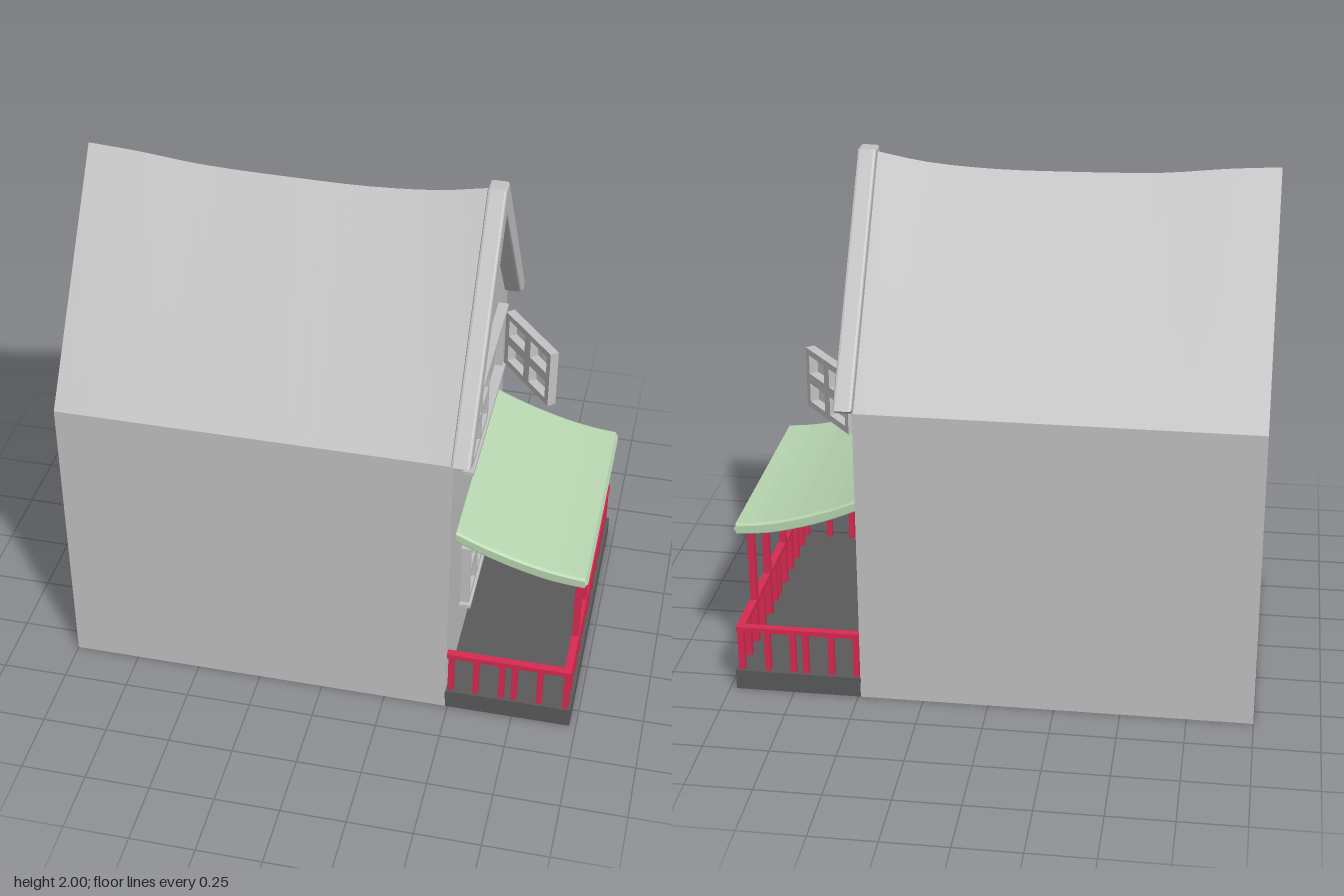
import * as THREE from 'three';

const mat = (name, color, side = THREE.FrontSide) => {
  const m = new THREE.MeshStandardMaterial({ color, side });
  m.name = name;
  return m;
};

export function createModel() {
  const grey = mat('plaster grey', 0xc2c2c2);
  const dark = mat('deck charcoal', 0x5a5a5a);
  const red = mat('railing red', 0xd82a50);
  const green = mat('awning green', 0xb8d6b0);
  const model = new THREE.Group();
  model.name = 'house';

  const add = (name, geo, material, parent = model) => {
    const mesh = new THREE.Mesh(geo, material);
    mesh.name = name;
    parent.add(mesh);
    return mesh;
  };
  // Box given by its limits on each axis
  const box = (name, x0, x1, y0, y1, z0, z1, material, parent) => {
    const b = add(name, new THREE.BoxGeometry(x1 - x0, y1 - y0, z1 - z0), material, parent);
    b.position.set((x0 + x1) / 2, (y0 + y1) / 2, (z0 + z1) / 2);
    return b;
  };
  const group = (name) => {
    const g = new THREE.Group();
    g.name = name;
    model.add(g);
    return g;
  };
  const shapeOf = (pts) => new THREE.Shape(pts.map(([x, y]) => new THREE.Vector2(x, y)));

  // House body: gabled cross-sections along x, with a sagging ridge
  const ridge = new THREE.CatmullRomCurve3([
    [-1, 1.982], [-0.8, 1.968], [-0.57, 1.944], [-0.2, 1.934],
    [0.05, 1.934], [0.3, 1.951], [0.49, 1.985],
  ].map(([x, y]) => new THREE.Vector3(x, y, 0)));
  const sections = ridge.getPoints(18).map(({ x, y }) =>
    [[x, 0, 0.587], [x, 1.18, 0.587], [x, y, 0], [x, 1.18, -0.587], [x, 0, -0.587]]);
  const pos = [], idx = [];
  for (let k = 0; k < 5; k++) {
    // each side has its own vertices so the edges stay sharp
    sections.forEach((s, i) => {
      const n = pos.length / 3;
      pos.push(...s[k], ...s[(k + 1) % 5]);
      if (i < sections.length - 1) idx.push(n, n + 2, n + 1, n + 1, n + 2, n + 3);
    });
  }
  [sections[0], sections[sections.length - 1]].forEach((s, end) => {
    const n = pos.length / 3;
    pos.push(...s.flat());
    for (let k = 1; k < 4; k++) idx.push(n, ...(end ? [n + k + 1, n + k] : [n + k, n + k + 1]));
  });
  const body = new THREE.BufferGeometry();
  body.setAttribute('position', new THREE.Float32BufferAttribute(pos, 3));
  body.setIndex(idx);
  body.computeVertexNormals();
  add('houseBody', body, grey);

  // Gable trim: bevelled chevron with flared feet
  const half = [[0.028, 1.992], [0.607, 1.203], [0.587, 1.19], [0.56, 1.2], [0.515, 1.228]];
  const chevron = shapeOf([...half, [0, 1.902], ...half.map(([x, y]) => [-x, y]).reverse()]);
  const trim = new THREE.ExtrudeGeometry(chevron, {
    depth: 0.05, bevelEnabled: true, bevelSize: 0.008, bevelThickness: 0.01, bevelSegments: 2,
  });
  trim.rotateY(Math.PI / 2).translate(0.495, 0, 0);
  add('gableTrim', trim, grey);

  // Four-pane sash, centred on its own origin, thickness along local z
  const sash = (name, w, h, depth, parent, frame = 0.02, bar = 0.032) => {
    const rect = (x0, x1, y0, y1) => [[x0, y0], [x1, y0], [x1, y1], [x0, y1]];
    const shape = shapeOf(rect(-w / 2, w / 2, -h / 2, h / 2));
    for (const sx of [-1, 1]) for (const sy of [-1, 1]) {
      const pane = rect(sx * bar / 2, sx * (w / 2 - frame), sy * bar / 2, sy * (h / 2 - frame));
      shape.holes.push(shapeOf(pane));
    }
    const geo = new THREE.ExtrudeGeometry(shape, { depth, bevelEnabled: false });
    geo.translate(0, 0, -depth / 2);
    return add(name, geo, grey, parent);
  };

  // Upper window: one closed sash and one swung open
  const upper = group('upperWindow');
  box('upperLintel', 0.48, 0.53, 1.248, 1.265, -0.355, 0.362, grey, upper);
  box('upperSill', 0.48, 0.53, 0.97, 0.986, -0.355, 0.362, grey, upper);
  box('upperJamb', 0.48, 0.52, 0.986, 1.248, -0.348, -0.33, grey, upper);
  const closed = sash('closedSash', 0.33, 0.262, 0.035, upper);
  closed.rotation.y = Math.PI / 2;
  closed.position.set(0.503, 1.117, 0.166);
  const open = sash('openSash', 0.325, 0.24, 0.036, upper, 0.025, 0.04);
  open.rotation.y = -0.872;
  open.position.set(0.643, 1.115, -0.228);

  // Lower window
  const lower = group('lowerWindow');
  box('lowerLintel', 0.48, 0.535, 0.577, 0.59, -0.01, 0.335, grey, lower);
  box('lowerSill', 0.48, 0.535, 0.292, 0.306, -0.01, 0.335, grey, lower);
  const lowerSash = sash('lowerSash', 0.315, 0.272, 0.04, lower, 0.025, 0.05);
  lowerSash.rotation.y = Math.PI / 2;
  lowerSash.position.set(0.505, 0.441, 0.16);

  // Door with a slim surround
  const door = group('door');
  box('doorPanel', 0.48, 0.497, 0.08, 0.57, -0.395, -0.125, grey, door);
  box('doorHead', 0.48, 0.515, 0.568, 0.58, -0.415, -0.11, grey, door);

  // Porch deck
  box('porchDeck', 0.488, 0.975, 0, 0.08, -0.587, 0.587, dark);

  // Awning: curved slab with rounded edges
  const top = new THREE.SplineCurve([[0.485, 0.772], [0.6, 0.722], [0.75, 0.672], [0.88, 0.643], [0.975, 0.633]]
    .map((p) => new THREE.Vector2(...p)));
  const under = new THREE.SplineCurve([[0.975, 0.604], [0.85, 0.617], [0.72, 0.65], [0.6, 0.692], [0.485, 0.743]]
    .map((p) => new THREE.Vector2(...p)));
  const slab = new THREE.Shape([...top.getPoints(12), new THREE.Vector2(0.982, 0.618), ...under.getPoints(12)]);
  const awning = new THREE.ExtrudeGeometry(slab, {
    depth: 0.9, bevelEnabled: true, bevelSize: 0.008, bevelThickness: 0.016, bevelSegments: 4,
  });
  awning.translate(0, 0, -0.446);
  add('awning', awning, green);

  // Posts under the awning
  const posts = group('awningPosts');
  for (const z of [0.353, 0.138, -0.13, -0.35])
    box('post', 0.938, 0.963, 0.08, 0.608, z - 0.015, z + 0.015, red, posts);

  // Railing around three sides of the porch
  const railing = group('railing');
  box('frontRail', 0.937, 0.967, 0.245, 0.265, -0.58, 0.58, red, railing);
  for (const z of [0.565, 0.465, 0.353, 0.25, 0.138, 0.028, -0.025, -0.13, -0.24, -0.35, -0.456, -0.565])
    box('frontBaluster', 0.94, 0.964, 0.08, 0.25, z - 0.013, z + 0.013, red, railing);
  for (const s of [-1, 1]) {
    const z = s * 0.565;
    box('sideRail', 0.488, 0.94, 0.245, 0.265, z - 0.015, z + 0.015, red, railing);
    for (const x of [0.507, 0.603, 0.703, 0.752, 0.85])
      box('sideBaluster', x - 0.011, x + 0.011, 0.08, 0.25, z - 0.012, z + 0.012, red, railing);
  }

  return model;
}
